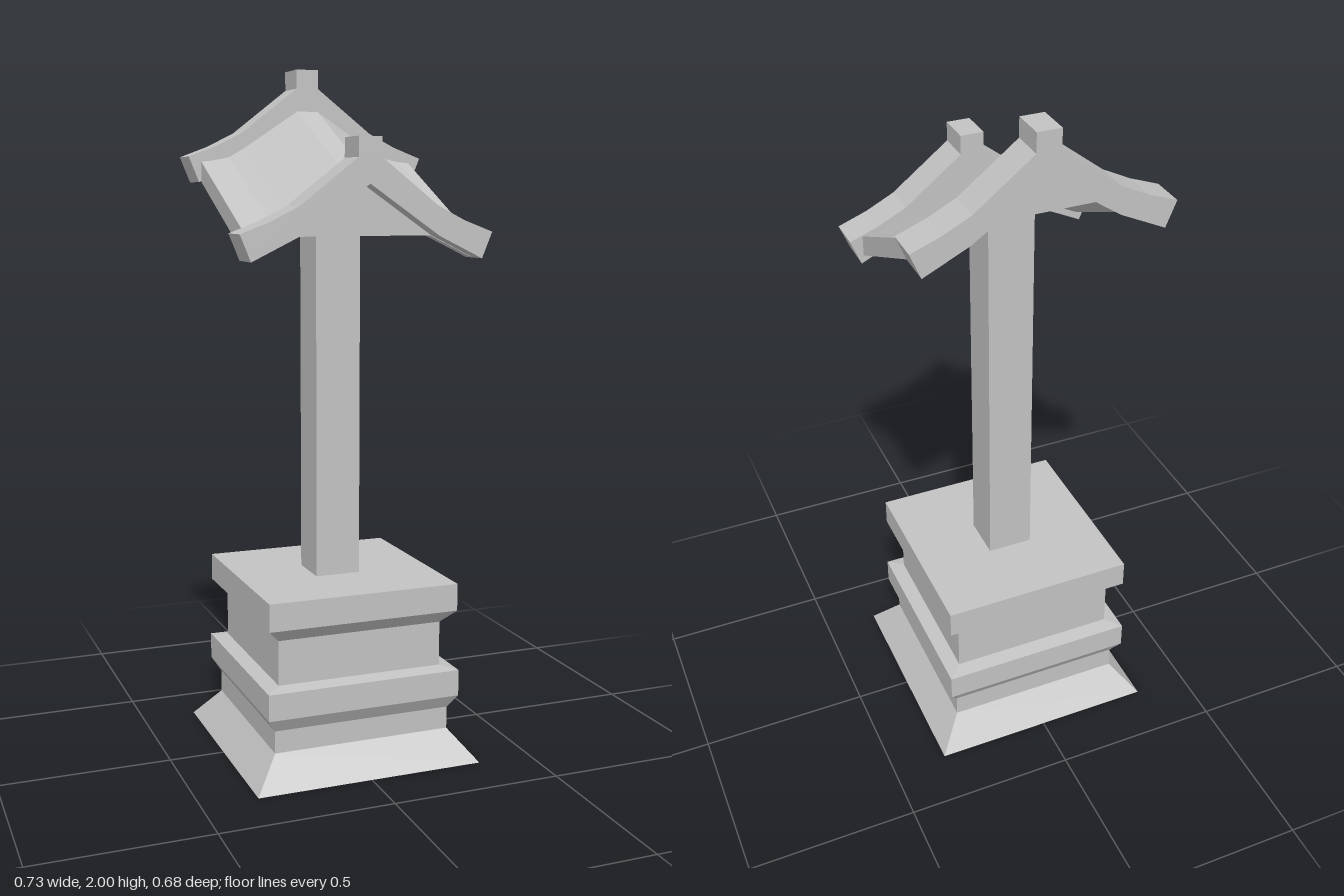
import * as THREE from 'three';

const stone = new THREE.MeshStandardMaterial({ color: 0xc2c2c2, side: THREE.DoubleSide });
stone.name = 'grey stone';

// faceted mesh: every face keeps its own normal
function addPart(group, name, geometry) {
  const flat = geometry.index ? geometry.toNonIndexed() : geometry;
  flat.computeVertexNormals();
  const mesh = new THREE.Mesh(flat, stone);
  mesh.name = name;
  group.add(mesh);
  return mesh;
}

// closed outline mirrored across x = 0, given for +x from top to bottom
function mirroredShape(half) {
  const left = half.filter(([x]) => x > 0).map(([x, y]) => [-x, y]).reverse();
  return new THREE.Shape([...half, ...left].map(([x, y]) => new THREE.Vector2(x, y)));
}

function extrude(half, z0, z1) {
  const g = new THREE.ExtrudeGeometry(mirroredShape(half), { depth: z1 - z0, bevelEnabled: false });
  return g.translate(0, 0, z0);
}

export function createModel() {
  const model = new THREE.Group();
  model.name = 'lecternPost';

  // stepped square pedestal, hollow and open underneath
  const profile = [
    [0.338, 0], [0.265, 0.09], [0.265, 0.155], [0.29, 0.195], [0.29, 0.272], [0.247, 0.28],
    [0.247, 0.41], [0.285, 0.45], [0.285, 0.53], [0, 0.53],
  ].map(([r, y]) => new THREE.Vector2(r * Math.SQRT2, y));
  addPart(model, 'pedestal', new THREE.LatheGeometry(profile, 4, Math.PI / 4));

  // square post
  const post = new THREE.BoxGeometry(0.134, 1.13, 0.134);
  post.translate(0, 1.095, 0);
  addPart(model, 'post', post);

  // roof body, sloping down to the front
  const roof = extrude([
    [0.032, 1.79], [0.2, 1.68], [0.245, 1.655], [0.295, 1.645], [0.328, 1.642],
    [0.328, 1.583], [0.2, 1.644],
  ], -0.24, 0.25);
  const p = roof.attributes.position;
  for (let i = 0; i < p.count; i++) p.setY(i, p.getY(i) - 0.475 * p.getZ(i));
  addPart(model, 'roof', roof);

  // upswept gable beams with a square ridge block
  const beam = [
    [0.034, 1.79], [0.034, 1.735], [0.2, 1.607], [0.28, 1.567], [0.365, 1.535],
    [0.335, 1.462], [0.205, 1.525], [0, 1.665],
  ];
  addPart(model, 'frontGableBeam', extrude(beam, 0.203, 0.305));
  addPart(model, 'backGableBeam', extrude(beam, -0.289, -0.187)).position.y = 0.21;

  return model;
}
